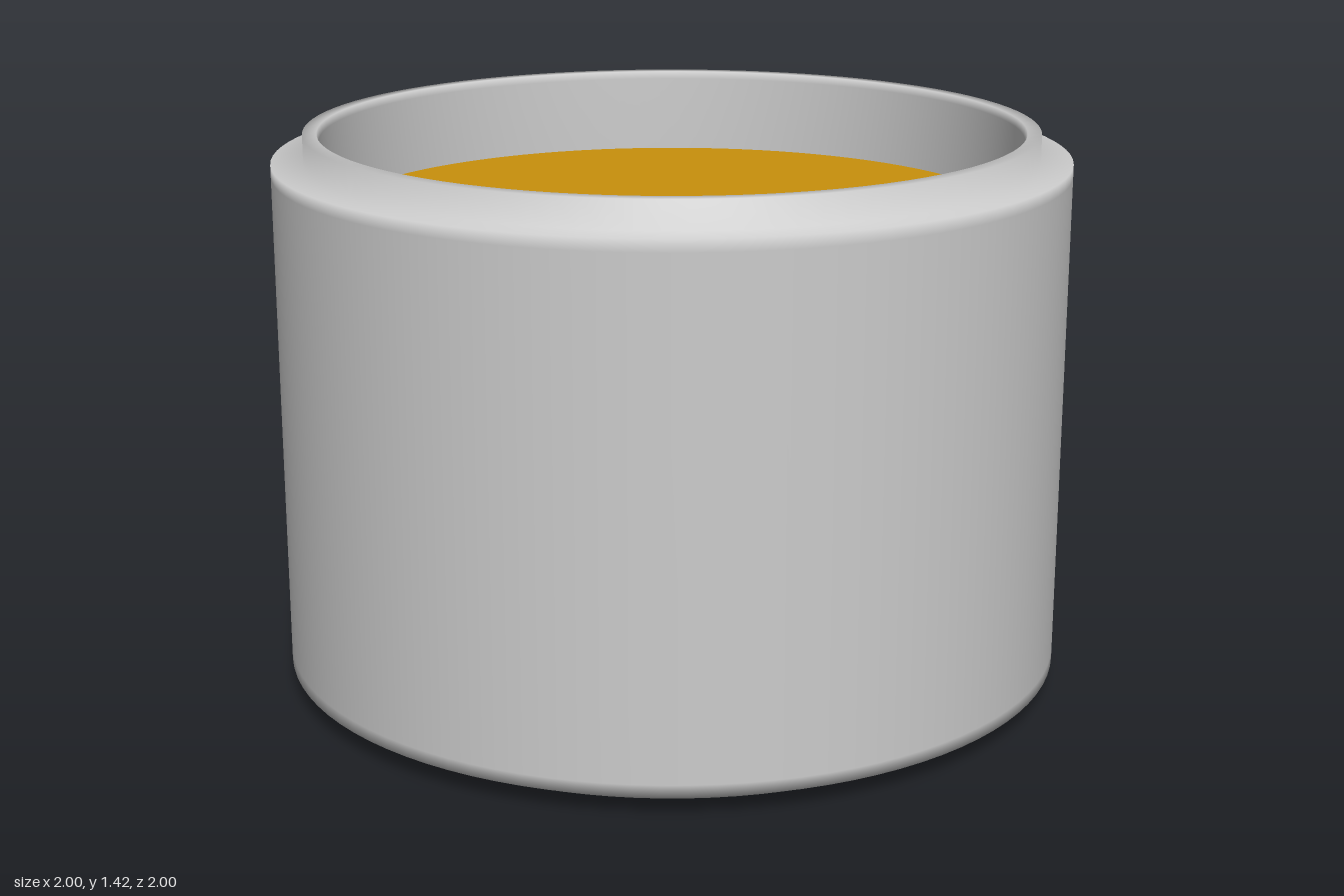
import * as THREE from 'three';

const SEGMENTS = 96;

export function createModel() {
  const model = new THREE.Group();
  const grey = new THREE.MeshStandardMaterial({ color: 0xcccccc, side: THREE.DoubleSide });
  const amber = new THREE.MeshStandardMaterial({ color: 0xc8900c });

  // Jar wall: base, bevelled foot, straight side, shoulder, raised rim and inner wall
  const profile = [
    [0, 0], [0.9, 0], [0.94, 0.025], [1, 0.05], [1, 0.08],
    [1, 1.32], [1, 1.35], [0.92, 1.35], [0.92, 1.42],
    [0.885, 1.42], [0.88, 1.4], [0.88, 1.18],
  ].map(([x, y]) => new THREE.Vector2(x, y));
  const jar = new THREE.Mesh(new THREE.LatheGeometry(profile, SEGMENTS), grey);
  jar.name = 'jar';
  model.add(jar);

  // Flat filling, sunk below the rim
  const filling = new THREE.Mesh(new THREE.CircleGeometry(0.88, SEGMENTS), amber);
  filling.name = 'filling';
  filling.rotation.x = -Math.PI / 2;
  filling.position.y = 1.2;
  model.add(filling);

  return model;
}
